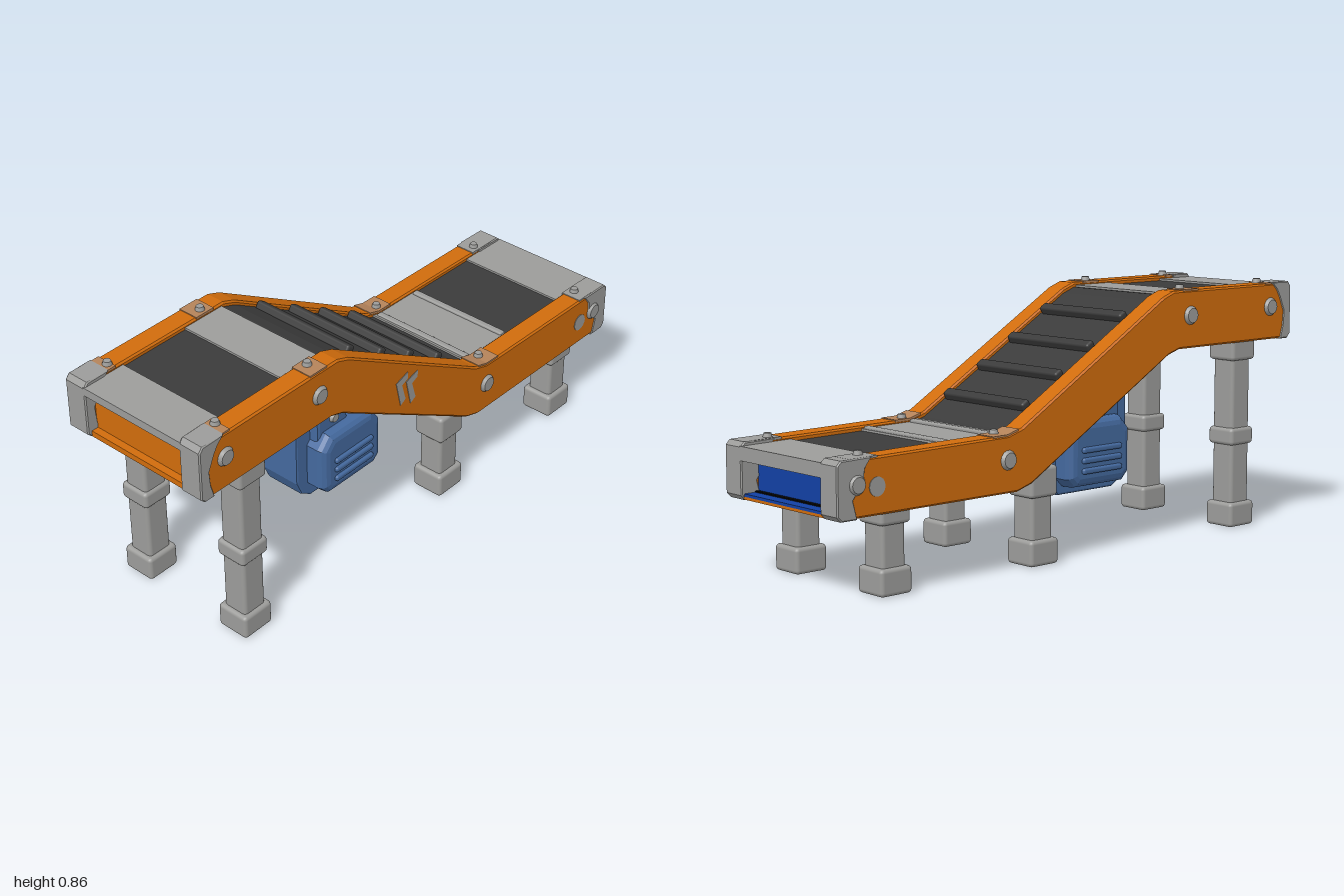
import * as THREE from 'three';
import { RoundedBoxGeometry } from 'three/addons/geometries/RoundedBoxGeometry.js';

const mat = (name, color, side = THREE.FrontSide) => {
  const m = new THREE.MeshStandardMaterial({ color, side });
  m.name = name;
  return m;
};

// Side outlines of the conveyor as [z, y], front to back
const TOP = [[1, 0.838], [0.41, 0.84], [0.36, 0.822], [-0.27, 0.455], [-0.33, 0.437], [-1, 0.43]];
const BOTTOM = [[1, 0.645], [0.44, 0.645], [0.39, 0.63], [-0.23, 0.273], [-0.29, 0.255], [-1, 0.255]];

// Part of an outline between two z values, moved vertically by dy
function run(line, z0, z1, dy) {
  const at = (z) => {
    const i = Math.max(1, line.findIndex((p) => p[0] <= z));
    const [a, b] = [line[i - 1], line[i]];
    return a[1] + ((b[1] - a[1]) * (z - a[0])) / (b[0] - a[0]);
  };
  const inner = line.filter((p) => p[0] < z0 - 0.001 && p[0] > z1 + 0.001);
  return [[z0, at(z0)], ...inner, [z1, at(z1)]].map(([z, y]) => [z, y + dy]);
}

// Extrude a [z, y] outline from x0 to x1 with an optional bevel
function slab(points, x0, x1, bevel = 0, segments = 1) {
  const shape = new THREE.Shape(points.map(([z, y]) => new THREE.Vector2(z, y)));
  const geo = new THREE.ExtrudeGeometry(shape, {
    depth: x1 - x0 - 2 * bevel, bevelEnabled: bevel > 0, bevelSize: bevel,
    bevelOffset: -bevel, bevelThickness: bevel, bevelSegments: segments,
  });
  geo.rotateY(-Math.PI / 2);
  geo.translate(x1 - bevel, 0, 0);
  return geo;
}

// A strip that follows an outline
const strip = (line, z0, z1, lift, thick, x0, x1, bevel = 0) =>
  slab([...run(line, z0, z1, lift), ...run(line, z0, z1, lift - thick).reverse()], x0, x1, bevel);

export function createModel() {
  const model = new THREE.Group();
  model.name = 'conveyor';
  const orange = mat('orange', 0xd06c0c);
  const grey = mat('grey', 0x9c9c9a);
  const tan = mat('tan', 0xb4835a);
  const rubber = mat('rubber', 0x3b3b3b);
  const black = mat('black', 0x060606);
  const blue = mat('motorBlue', 0x44699e);
  const deepBlue = mat('deepBlue', 0x1240a4);

  const add = (name, geo, material, x = 0, y = 0, z = 0, parent = model) => {
    const mesh = new THREE.Mesh(geo, material);
    mesh.name = name;
    mesh.position.set(x, y, z);
    parent.add(mesh);
    return mesh;
  };
  // Low domed bolt whose axis points along y, or along x when side is +-1
  const bolt = (name, r, h, material, x, y, z, side = 0, parent = model) => {
    const geo = new THREE.CylinderGeometry(r * 0.72, r, h, 14);
    if (side) geo.rotateZ(-side * Math.PI / 2);
    return add(name, geo, material, x, y, z, parent);
  };

  // Belt, joint plates and cleats
  add('belt', strip(TOP, 0.95, -0.95, -0.016, 0.02, -0.203, 0.203), rubber);
  const plates = [[1, 0.84, 0.028], [0.58, 0.42, 0.02], [-0.3, -0.53, 0.02], [-0.81, -1, 0.045]];
  for (const [z0, z1, t] of plates) {
    add('crossPlate', strip(TOP, z0, z1, -0.009, t, -0.203, 0.203), grey);
  }
  const slope = Math.atan2(0.367, 0.63);
  for (const z of [0.26, 0.11, -0.03, -0.175]) {
    const y = run(TOP, z, -1, 0)[0][1];
    const cleat = add('cleat', new RoundedBoxGeometry(0.39, 0.032, 0.034, 2, 0.009), rubber, 0, y - 0.004, z);
    cleat.rotation.x = -slope;
  }
  for (const z of [-0.325, -0.515]) {
    add('plateRidge', new RoundedBoxGeometry(0.39, 0.016, 0.024, 2, 0.006), grey, 0, run(TOP, z, -1, -0.008)[0][1], z);
  }

  // Underside and end panels
  add('underside', strip(BOTTOM, 0.87, -0.95, 0.022, 0.012, -0.203, 0.203), black);
  add('frontFloor', strip(BOTTOM, 0.985, 0.87, 0.02, 0.02, -0.203, 0.203), orange);
  add('frontPanel', new THREE.BoxGeometry(0.4, 0.145, 0.01), orange, 0, 0.735, 0.955);
  add('backPanel', new THREE.BoxGeometry(0.4, 0.13, 0.01), deepBlue, 0, 0.325, -0.93);
  add('backFloor', strip(BOTTOM, -0.93, -0.99, 0.018, 0.009, -0.203, 0.203), deepBlue);
  add('backSill', strip(BOTTOM, -0.94, -0.99, 0.009, 0.009, -0.203, 0.203), orange);

  // Side rails with end caps, bolts and joint patches
  const frontCap = [[0.945, 0.643], [0.985, 0.643], [1, 0.658], [1, 0.825], [0.986, 0.842],
    [0.9, 0.842], [0.925, 0.815], [0.94, 0.79], [0.962, 0.74], [0.958, 0.69]];
  const backCap = [[-0.87, 0.434], [-0.985, 0.433], [-1, 0.418], [-1, 0.268], [-0.985, 0.252],
    [-0.925, 0.252], [-0.94, 0.31], [-0.9, 0.36], [-0.895, 0.4]];
  const rail = [...run(TOP, 0.985, -0.985, 0), ...run(BOTTOM, 0.985, -0.985, 0).reverse()];
  for (const s of [1, -1]) {
    const span = (a, b) => (s > 0 ? [a, b] : [-b, -a]);
    add('sideRail', slab(rail, ...span(0.2, 0.277), 0.006), orange);
    add('frontEndCap', slab(frontCap, ...span(0.197, 0.28), 0.004), grey);
    add('backEndCap', slab(backCap, ...span(0.197, 0.28), 0.004), grey);
    add('frontCapTop', strip(TOP, 0.95, 0.87, 0.003, 0.008, ...span(0.2, 0.274)), tan);
    add('backCapTop', strip(TOP, -0.845, -0.95, 0.003, 0.008, ...span(0.2, 0.274)), grey);
    for (const [z0, z1] of [[0.53, 0.455], [-0.285, -0.39]]) {
      add('jointPatch', strip(TOP, z0, z1, 0.003, 0.008, ...span(0.2, 0.274)), tan);
    }
    for (const [z, y] of [[0.895, 0.758], [0.492, 0.755], [-0.33, 0.36], [-0.925, 0.355]]) {
      bolt('sideBolt', 0.034, 0.014, grey, s * 0.281, y, z, s);
    }
    const spot = new THREE.CylinderGeometry(0.03, 0.03, 0.006, 16).rotateZ(Math.PI / 2);
    add('railSpot', spot, grey, s * 0.276, 0.342, -0.85);
    for (const z of [0.88, 0.49, -0.345, -0.88]) {
      bolt('topBolt', 0.017, 0.018, grey, s * 0.225, run(TOP, z, -1, 0.007)[0][1], z);
    }
  }

  // Direction chevrons on the left rail
  const chevron = [[0.085, 0.625], [0.14, 0.607], [0.118, 0.513], [0.094, 0.527], [0.112, 0.588], [0.085, 0.6]];
  for (const d of [0, 0.049]) {
    add('chevron', slab(chevron.map(([z, y]) => [z - d, y - d * 0.35]), 0.275, 0.279), grey);
  }

  // Legs: foot, column, top collar and, on the tall pair, a middle ring
  const block = (name, w, y0, y1, d, parent) =>
    add(name, new RoundedBoxGeometry(w, y1 - y0, d, 2, 0.013), grey, 0, (y0 + y1) / 2, 0, parent);
  const legs = [
    { z: 0.775, height: 0.655, collar: 0.58, ring: true },
    { z: -0.165, height: 0.32, collar: 0.22 },
    { z: -0.77, height: 0.265, collar: 0.215 },
  ];
  for (const { z, height, collar, ring } of legs) {
    for (const s of [1, -1]) {
      const leg = new THREE.Group();
      leg.name = 'leg';
      leg.position.set(s * 0.21, 0, z);
      block('foot', 0.118, 0, 0.085, 0.12, leg);
      block('column', 0.09, 0.06, height - 0.02, 0.09, leg);
      block('collar', 0.114, collar, height, 0.115, leg);
      if (ring) block('ring', 0.11, 0.286, 0.346, 0.112, leg);
      model.add(leg);
    }
  }

  // Motor: central band, stepped housing, fins and bolts
  const motor = new THREE.Group();
  motor.name = 'motor';
  model.add(motor);
  const band = [[0.39, 0.53], [0.37, 0.55], [0.22, 0.55], [0.14, 0.51], [0.05, 0.43], [0.038, 0.4],
    [0.038, 0.215], [0.075, 0.17], [0.325, 0.17], [0.365, 0.195], [0.39, 0.25]];
  const upper = [[0.325, 0.48], [0.31, 0.496], [0.23, 0.496], [0.2, 0.47], [0.17, 0.41], [0.08, 0.38],
    [0.07, 0.25], [0.1, 0.205], [0.3, 0.205], [0.325, 0.24]];
  const lower = [[0.34, 0.38], [0.3, 0.425], [0.1, 0.425], [0.06, 0.37], [0.06, 0.23], [0.09, 0.2],
    [0.31, 0.2], [0.34, 0.23]];
  add('centralBand', slab(band, -0.077, 0.077, 0.008, 2), blue, 0, 0, 0, motor);
  add('upperHousing', slab(upper, -0.11, 0.11, 0.012, 2), blue, 0, 0, 0, motor);
  add('lowerHousing', slab(lower, -0.152, 0.152, 0.03, 3), blue, 0, 0, 0, motor);
  for (const s of [1, -1]) {
    for (const y of [0.255, 0.29, 0.325]) {
      add('fin', new RoundedBoxGeometry(0.03, 0.02, 0.18, 2, 0.008), blue, s * 0.148, y, 0.2, motor);
    }
    bolt('motorBolt', 0.02, 0.016, grey, s * 0.114, 0.46, 0.25, s, motor);
  }
  const knob = (r, h, z, m) =>
    add('shaftKnob', new THREE.CylinderGeometry(r, r, h, 16).rotateX(Math.PI / 2), m, 0, 0.29, z, motor);
  knob(0.06, 0.022, 0.028, blue);
  knob(0.052, 0.016, 0.01, grey);
  return model;
}
